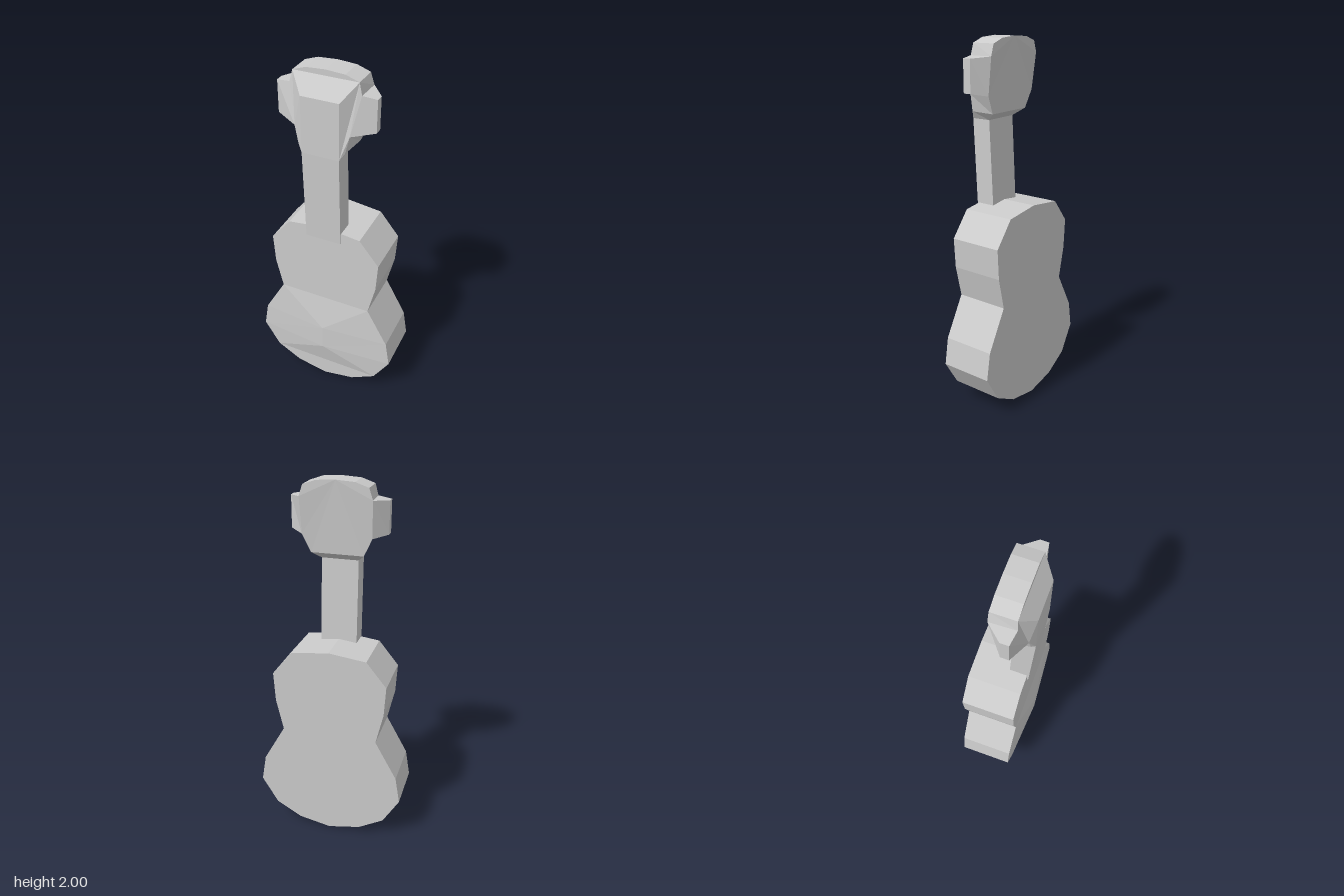
import * as THREE from 'three';

const material = new THREE.MeshStandardMaterial({ color: 0xcccccc, flatShading: true });

const flip = ([x, y, z]) => [-x, y, z];
const mirror = (poly) => poly.map(flip).reverse();

// Faceted mesh from convex polygons, each fanned into triangles
function facets(name, polys) {
  const pos = [];
  for (const p of polys)
    for (let i = 1; i < p.length - 1; i++) pos.push(...p[0], ...p[i], ...p[i + 1]);
  const geo = new THREE.BufferGeometry();
  geo.setAttribute('position', new THREE.Float32BufferAttribute(pos, 3));
  geo.computeVertexNormals();
  const mesh = new THREE.Mesh(geo, material);
  mesh.name = name;
  return mesh;
}

// Walls joining two matching loops of corners
const bridge = (loop, end) => loop.map((p, i) => {
  const j = (i + 1) % loop.length;
  return [p, loop[j], end[j], end[i]];
});

// Waisted sound box
function makeBody() {
  const half = [[0, 0.005], [0.18, 0.04], [0.32, 0.12], [0.41, 0.27], [0.385, 0.42],
    [0.265, 0.635], [0.305, 0.81], [0.315, 0.975], [0.205, 1.11], [0, 1.135]];
  const outline = [...half, ...half.slice(1, -1).reverse().map(([x, y]) => [-x, y])];
  const shape = new THREE.Shape(outline.map(([x, y]) => new THREE.Vector2(x, y)));
  const geo = new THREE.ExtrudeGeometry(shape, { depth: 0.293, bevelEnabled: false });
  geo.translate(0, 0, -0.163);
  const body = new THREE.Mesh(geo, material);
  body.name = 'body';

  // Ridged swelling on the lower front
  const [p, q, r, s] = half.slice(2, 6).map(([x, y]) => [x, y, 0.1301]);
  const low = [0, 0.27, 0.165], high = [0, 0.42, 0.165];
  const side = [[low, p, q], [low, q, r, high], [high, r, s]];
  const belly = facets('belly', [
    ...side, ...side.map(mirror),
    [flip(p), p, low], [high, s, flip(s)],
  ]);
  return [body, belly];
}

// Slightly leaning neck
function makeNeck() {
  const bottom = [[-0.1, 1.06, 0.137], [0.1, 1.06, 0.137], [0.1, 1.06, 0.03], [-0.1, 1.06, 0.03]];
  const top = [[-0.1, 1.58, 0.162], [0.1, 1.58, 0.162], [0.1, 1.58, 0.055], [-0.1, 1.58, 0.055]];
  return facets('neck', [...bridge(bottom, top), top, [...bottom].reverse()]);
}

// Headstock: front and back half outlines, from top centre down to the neck
function makeHead() {
  const F = [[0, 2, 0.095], [0.1, 1.994, 0.095], [0.17, 1.97, 0.095], [0.185, 1.91, 0.1],
    [0.145, 1.71, 0.14], [0.125, 1.62, 0.145], [0.1, 1.58, 0.162]];
  const B = [[0, 2, -0.033], [0.1, 1.994, -0.033], [0.17, 1.97, -0.033], [0.19, 1.91, -0.033],
    [0.185, 1.715, -0.01], [0.14, 1.62, 0], [0.1, 1.58, 0.055]];
  const [, t, b, c, d, e, f] = F;
  const h = [0.1, 1.88, 0.162];

  // Bevels beside the raised centre, and the rim (open where the pegs sit)
  const side = [[b, h, f, d], [b, d, c], [d, f, e]];
  for (let i = 0; i < 6; i++) if (i !== 3) side.push([F[i], F[i + 1], B[i + 1], B[i]]);

  const head = facets('headstock', [
    ...side, ...side.map(mirror),
    [flip(h), flip(f), f, h],
    [flip(b), flip(h), h, b],
    [flip(b), b, t, F[0], flip(t)],
    [...B.slice(0, 6), ...B.slice(1, 6).reverse().map(flip)],
    [B[5], B[6], flip(B[6]), flip(B[5])],
  ]);

  // Tapered tuning pegs
  const base = [c, d, B[4], B[3]];
  const end = [[0.258, 1.9, 0.088], [0.258, 1.73, 0.088], [0.258, 1.73, 0.045], [0.258, 1.9, 0.045]];
  const peg = [...bridge(base, end), end];
  return [head, facets('leftPeg', peg), facets('rightPeg', peg.map(mirror))];
}

export function createModel() {
  const model = new THREE.Group();
  model.name = 'guitar';
  model.add(...makeBody(), makeNeck(), ...makeHead());
  return model;
}
